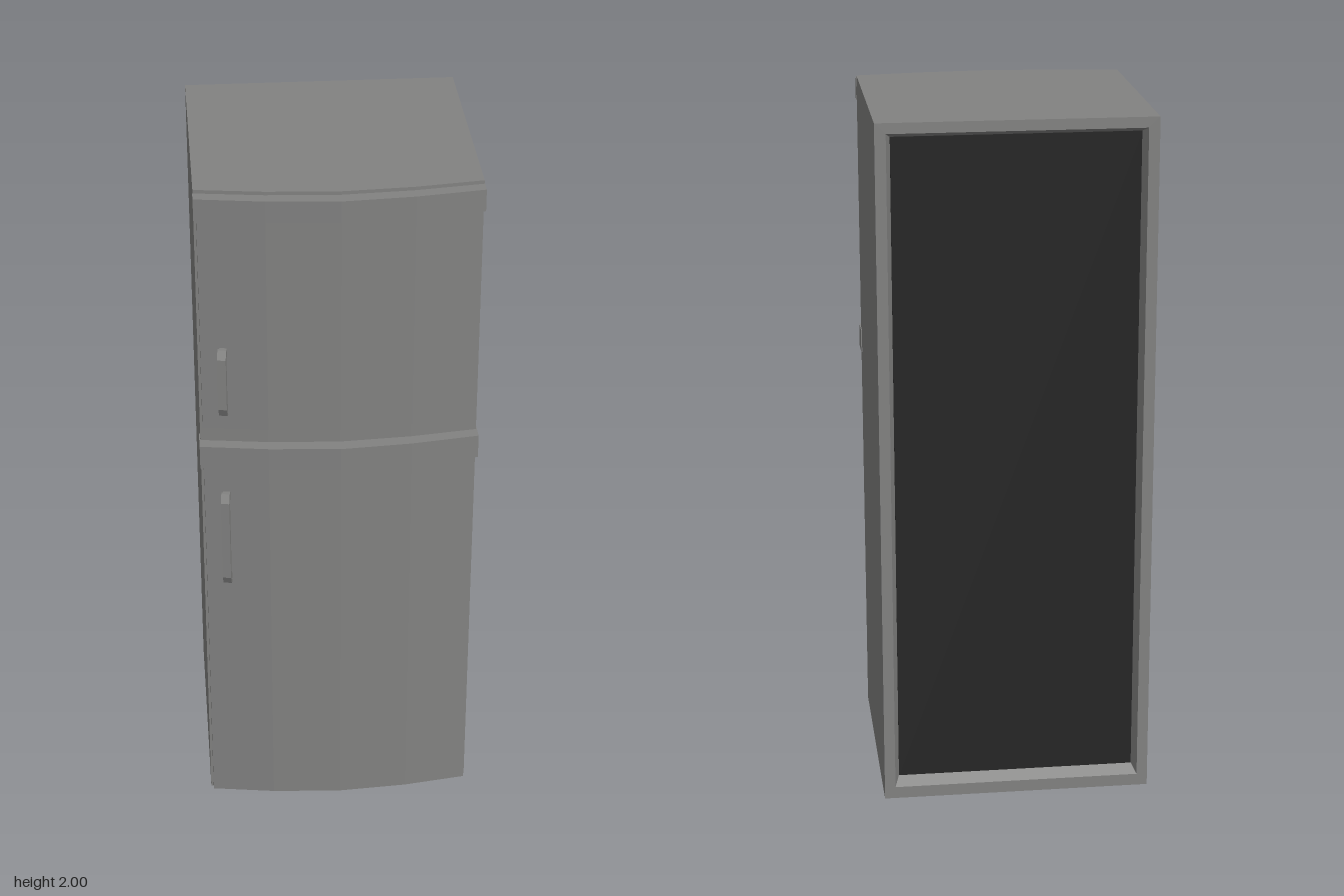
import * as THREE from 'three';

const grey = new THREE.MeshStandardMaterial({ color: 0x828281, flatShading: true });
const dark = new THREE.MeshStandardMaterial({ color: 0x262626, flatShading: true });

// Horizontal slab with a faceted bowed front, between heights y0 and y1.
// zs = front depth at the edge, at x = 0.2 and at the centre.
function bowedSlab(name, halfWidth, back, zs, y0, y1) {
  const [edge, mid, centre] = zs;
  const outline = [
    [-halfWidth, back], [halfWidth, back], [halfWidth, edge], [0.2, mid],
    [0, centre], [-0.2, mid], [-halfWidth, edge],
  ];
  // shape y becomes -z once the extrusion is stood upright
  const shape = new THREE.Shape(outline.map(([x, z]) => new THREE.Vector2(x, -z)));
  const geo = new THREE.ExtrudeGeometry(shape, { depth: y1 - y0, bevelEnabled: false });
  geo.rotateX(-Math.PI / 2).translate(0, y0, 0);
  const mesh = new THREE.Mesh(geo, grey);
  mesh.name = name;
  return mesh;
}

// Skin through a series of upright rectangles [halfWidth, bottom, top, z]
function loftRectangles(rects) {
  const rings = rects.map(([w, b, t, z]) => [[-w, b, z], [w, b, z], [w, t, z], [-w, t, z]]);
  const points = [];
  for (let r = 0; r + 1 < rings.length; r++) {
    for (let i = 0; i < 4; i++) {
      const j = (i + 1) % 4;
      const [a, b, c, d] = [rings[r][i], rings[r][j], rings[r + 1][j], rings[r + 1][i]];
      points.push(...a, ...c, ...b, ...a, ...d, ...c);
    }
  }
  const geo = new THREE.BufferGeometry();
  geo.setAttribute('position', new THREE.Float32BufferAttribute(points, 3));
  geo.computeVertexNormals();
  return geo;
}

// Arched pull handle, square to the slanted door facet
function handle(name, y0, y1) {
  const group = new THREE.Group();
  group.name = name;
  const h = y1 - y0;
  const arch = (part, points, width) => {
    const shape = new THREE.Shape(points.map(([z, y]) => new THREE.Vector2(z, y)));
    const geo = new THREE.ExtrudeGeometry(shape, { depth: width, bevelEnabled: false });
    geo.translate(0, 0, -width / 2).rotateY(-Math.PI / 2);
    const mesh = new THREE.Mesh(geo, grey);
    mesh.name = part;
    group.add(mesh);
  };
  for (const y of [0.004, h - 0.03]) {
    arch('handleFoot', [[-0.01, y], [0.02, y], [0.02, y + 0.026], [-0.01, y + 0.026]], 0.02);
  }
  arch('handleGrip', [[0.013, 0], [0.022, 0], [0.034, 0.025], [0.034, h - 0.025],
    [0.022, h], [0.013, h], [0.02, h - 0.03], [0.02, 0.03]], 0.024);
  group.position.set(-0.319, y0, 0.356);
  group.rotation.y = -0.2;
  return group;
}

export function createModel() {
  const model = new THREE.Group();
  model.name = 'refrigerator';

  // Cabinet with a shallow recess in the back, its walls sloping in to the panel
  const W = 0.388, back = -0.395, inner = back + 0.032;
  const panelHalf = 0.344, panelBottom = 0.058, panelTop = 1.956;
  model.add(bowedSlab('cabinet', W, inner, [0.313, 0.339, 0.352], 0, 2));

  const backRim = new THREE.Mesh(loftRectangles([
    [W, 0, 2, inner],
    [W, 0, 2, back],
    [0.357, 0.035, 1.97, back],
    [panelHalf, panelBottom, panelTop, inner],
  ]), grey);
  backRim.name = 'backRim';
  model.add(backRim);

  const panel = new THREE.Mesh(
    new THREE.BoxGeometry(2 * panelHalf, panelTop - panelBottom, 0.004), dark);
  panel.position.set(0, (panelTop + panelBottom) / 2, inner);
  panel.name = 'backPanel';
  model.add(panel);

  // Doors
  const doorFront = [0.348, 0.375, 0.388];
  model.add(bowedSlab('freezerDoor', 0.381, 0.3, doorFront, 1.293, 1.985));
  model.add(bowedSlab('mainDoor', 0.381, 0.3, doorFront, 0.017, 1.225));

  // Wider trim along the top of each door; the lower one wraps round the cabinet
  const trimFront = [0.35, 0.378, 0.393];
  model.add(bowedSlab('freezerDoorTrim', 0.389, 0.313, trimFront, 1.927, 1.99));
  model.add(bowedSlab('mainDoorTrim', 0.391, 0.277, trimFront, 1.162, 1.232));

  model.add(handle('freezerHandle', 1.345, 1.55));
  model.add(handle('mainHandle', 0.79, 1.09));
  return model;
}
